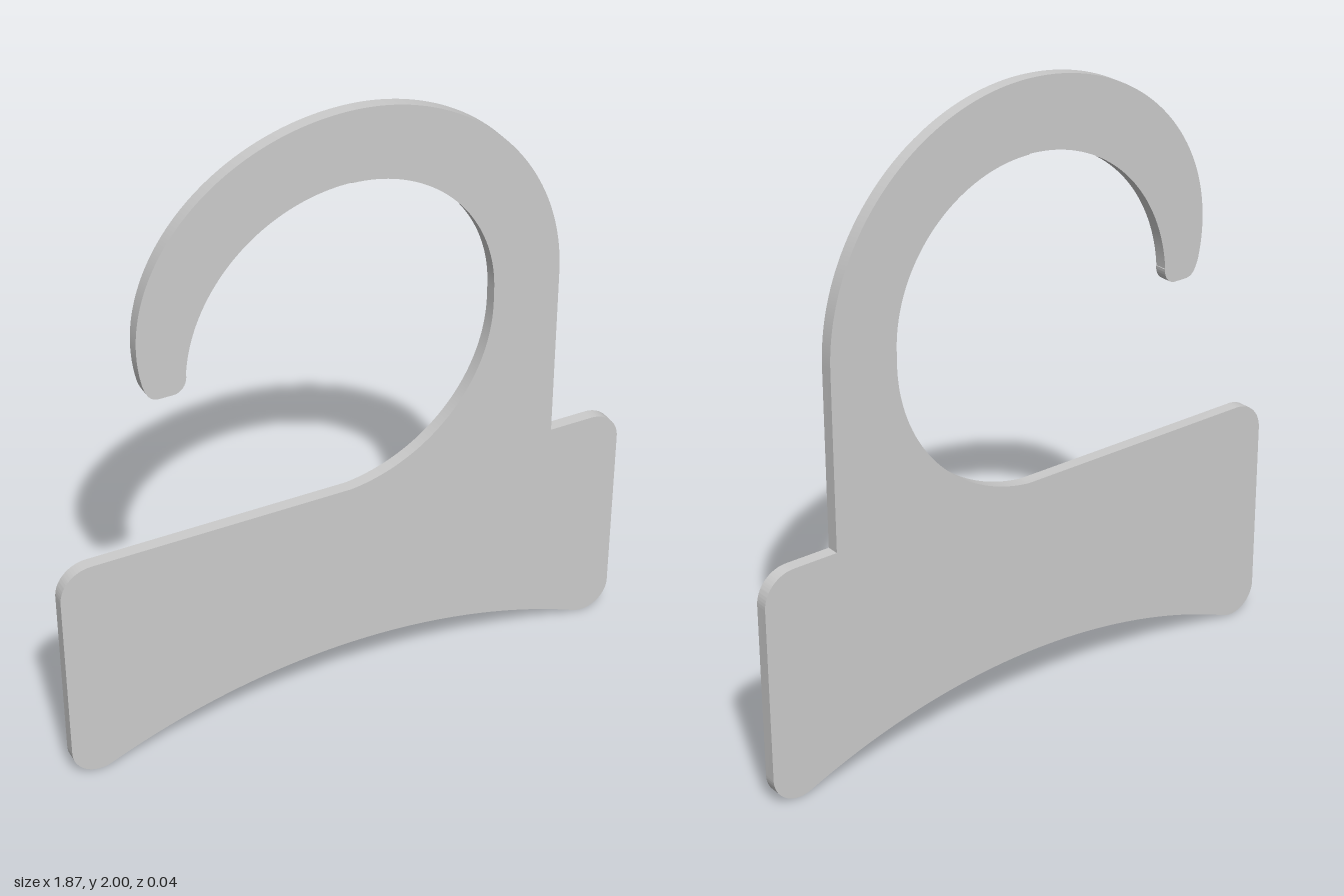
import * as THREE from 'three';
import { toCreasedNormals } from 'three/addons/utils/BufferGeometryUtils.js';

const THICKNESS = 0.04;

function hangerOutline() {
  const s = new THREE.Shape();
  const H = Math.PI / 2;
  const W = 0.935, top = 0.75;          // half width and top of the plate
  const r = 0.1, foot = 0.09;           // upper and lower corner radii
  const sweep = 0.402;                  // half angle of the arched lower edge
  const archR = 2.07;

  // right end of the plate
  s.absarc(W - foot, foot, foot, -H - sweep, 0, false);
  s.absarc(W - r, top - r, r, 0, H, false);

  // stem and outer edge of the hook
  s.lineTo(0.69, top);
  s.absarc(0, 1.31, 0.69, 0, H, false);
  s.absellipse(0, 1.42, 0.663, 0.58, H, Math.PI + 0.2, false, 0);

  // rounded hook tip
  s.bezierCurveTo(-0.638, 1.265, -0.625, 1.25, -0.6, 1.25);
  s.lineTo(-0.56, 1.25);
  s.bezierCurveTo(-0.535, 1.25, -0.518, 1.27, -0.517, 1.3);

  // inner edge of the hook, running down into the plate
  s.absellipse(0, 1.26, 0.52, 0.52, Math.PI - 0.08, H, true, 0);
  s.absarc(0, 1.31, 0.468, H, 0, true);
  s.absarc(-0.055, 1.27, 0.523, 0, -H + 0.105, true);

  // left end of the plate
  s.lineTo(-W + r, top);
  s.absarc(-W + r, top - r, r, H, Math.PI, false);
  s.absarc(-W + foot, foot, foot, Math.PI, 3 * H + sweep, false);

  // arched lower edge
  s.absarc(0, 0.172 - archR, archR, H + sweep, H - sweep, true);
  s.closePath();
  return s;
}

export function createModel() {
  const group = new THREE.Group();
  group.name = 'hanger';

  // flat plate and hook cut as one piece
  const geometry = new THREE.ExtrudeGeometry(hangerOutline(), {
    depth: THICKNESS,
    bevelEnabled: false,
    curveSegments: 32,
  });
  geometry.translate(0, 0, -THICKNESS / 2);

  const body = new THREE.Mesh(
    toCreasedNormals(geometry, 0.5),
    new THREE.MeshStandardMaterial({ color: 0xcccccc })
  );
  body.name = 'hookAndPlate';
  group.add(body);
  return group;
}
